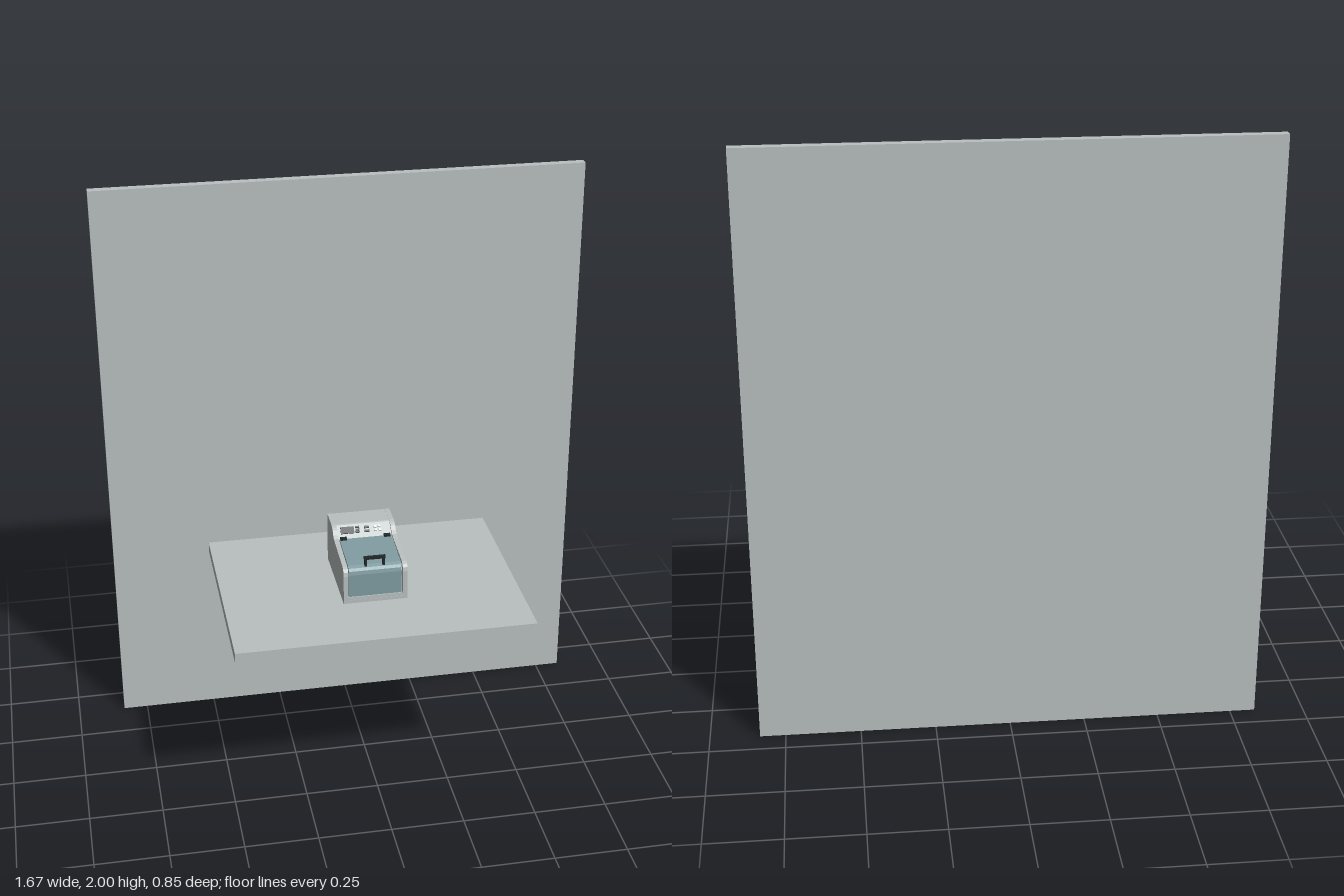
import * as THREE from 'three';

const mat = (name, color) => Object.assign(new THREE.MeshStandardMaterial({ color }), { name });

export function createModel() {
  const root = new THREE.Group();
  const grey = mat('pale grey', 0xb9c0bf);
  const blue = mat('lid blue grey', 0x7f9ba1);
  const dark = mat('dark trim', 0x23282b);
  const light = mat('light button', 0xd9dddc);

  const add = (parent, name, geometry, material, x = 0, y = 0, z = 0) => {
    const mesh = new THREE.Mesh(geometry, material);
    mesh.name = name;
    mesh.position.set(x, y, z);
    parent.add(mesh);
    return mesh;
  };
  const box = (parent, name, size, pos, material) =>
    add(parent, name, new THREE.BoxGeometry(...size), material, ...pos);
  // Extrude a [z, y] side profile across x, centred on the given x
  const across = (parent, name, points, width, x, material) => {
    const shape = new THREE.Shape(points.map(([z, y]) => new THREE.Vector2(z, y)));
    const geometry = new THREE.ExtrudeGeometry(shape, { depth: width, bevelEnabled: false });
    geometry.rotateY(-Math.PI / 2).translate(x + width / 2, 0, 0);
    return add(parent, name, geometry, material);
  };

  // Wall and worktop
  box(root, 'wall', [1.67, 2, 0.03], [0, 1, -0.41], grey);
  box(root, 'worktop', [1, 0.038, 0.745], [0, 0.691, 0.0475], grey);

  const device = new THREE.Group();
  device.name = 'benchDevice';
  root.add(device);

  // Feet and base plate
  for (const x of [-0.085, 0.085])
    for (const z of [-0.07, 0.17])
      add(device, 'foot', new THREE.CylinderGeometry(0.01, 0.01, 0.017, 16), dark, x, 0.7185, z);
  box(device, 'basePlate', [0.216, 0.012, 0.315], [0, 0.731, 0.0475], grey);

  // Side cheeks with the stepped top line
  const cheek = [
    [-0.11, 0.737], [0.205, 0.737], [0.205, 0.828], [0.202, 0.842], [0.195, 0.851],
    [0.183, 0.856], [0.15, 0.859], [0.05, 0.866], [0.02, 0.87], [0.008, 0.878],
    [-0.005, 0.89], [-0.015, 0.896], [-0.03, 0.9], [-0.11, 0.9],
  ];
  for (const side of [-1, 1]) across(device, 'sideCheek', cheek, 0.016, side * 0.1, grey);

  // Inner housing with sloping control face
  const core = [
    [-0.11, 0.737], [0.19, 0.737], [0.19, 0.828], [0.175, 0.845], [0.015, 0.862],
    [-0.025, 0.897], [-0.03, 0.899], [-0.11, 0.899],
  ];
  across(device, 'housing', core, 0.184, 0, grey);

  // Curved lid covering the front and the top
  const lid = [
    [0.19, 0.747], [0.2, 0.747], [0.2, 0.828], [0.197, 0.841], [0.19, 0.849],
    [0.178, 0.854], [0.15, 0.857], [0.018, 0.867], [0.018, 0.86], [0.172, 0.842], [0.19, 0.826],
  ];
  across(device, 'lid', lid, 0.178, 0, blue);
  box(device, 'frontSill', [0.184, 0.01, 0.014], [0, 0.742, 0.197], grey);

  // Hinges
  for (const side of [-1, 1])
    box(device, 'hinge', [0.022, 0.01, 0.014], [side * 0.075, 0.868, 0.021], dark);

  // Lid handle: a bar on two posts
  box(device, 'handleBar', [0.072, 0.01, 0.01], [0, 0.881, 0.184], dark);
  for (const side of [-1, 1])
    box(device, 'handlePost', [0.008, 0.028, 0.01], [side * 0.03, 0.865, 0.184], dark);

  // Controls lying on the sloping face
  const panel = new THREE.Group();
  panel.name = 'controlPanel';
  panel.position.set(0, 0.8795, -0.005);
  panel.rotation.x = Math.atan2(0.035, 0.04);
  device.add(panel);
  box(panel, 'display', [0.046, 0.004, 0.024], [-0.057, 0.002, -0.006], dark);
  for (let i = 0; i < 3; i++)
    box(panel, 'displayRow', [0.014, 0.004, 0.006], [-0.022, 0.002, -0.015 + i * 0.009], dark);
  for (const z of [-0.012, 0.002])
    box(panel, 'darkButton', [0.016, 0.004, 0.008], [0.01, 0.002, z], dark);
  for (let i = 0; i < 2; i++)
    for (let j = 0; j < 2; j++)
      box(panel, 'lightButton', [0.01, 0.004, 0.008], [0.04 + i * 0.014, 0.002, -0.012 + j * 0.013], light);

  return root;
}
